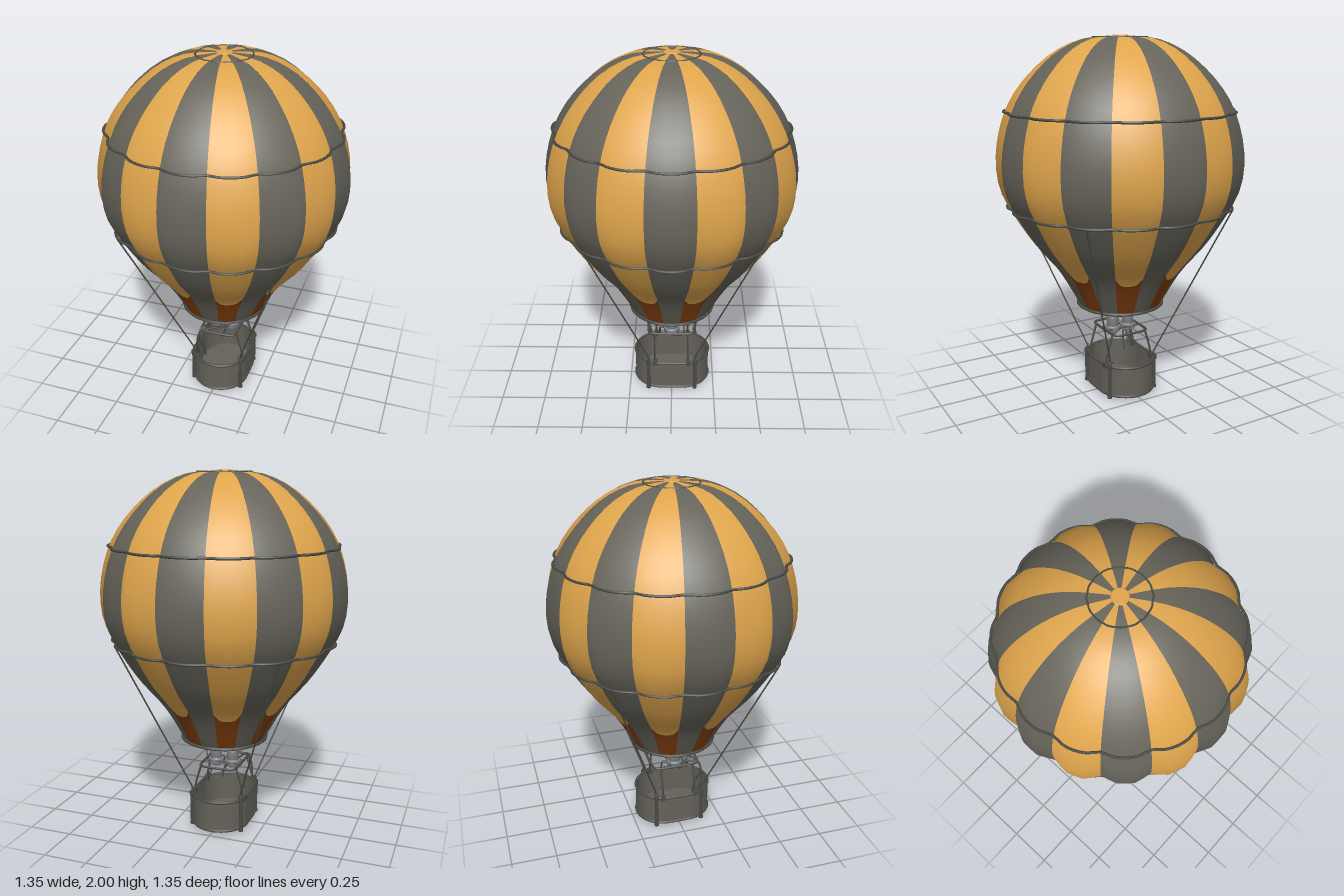
import * as THREE from 'three';

const V = (x, y, z) => new THREE.Vector3(x, y, z);
const paint = (name, color, side = THREE.FrontSide) => {
  const m = new THREE.MeshStandardMaterial({ color, side });
  m.name = name;
  return m;
};

export function createModel() {
  const grey = paint('grey fabric', 0x66645a, THREE.DoubleSide);
  const yellow = paint('yellow fabric', 0xdfa54c, THREE.DoubleSide);
  const brown = paint('brown skirt', 0x84400f, THREE.DoubleSide);
  const wall = paint('basket grey', 0x65625a);
  const dark = paint('dark trim', 0x4b4c47);
  const steel = paint('burner steel', 0x7a7d80);

  const model = new THREE.Group();
  model.name = 'hotAirBalloon';
  const add = (name, geo, mat, parent = model) => {
    const m = new THREE.Mesh(geo, mat);
    m.name = name;
    parent.add(m);
    return m;
  };
  const group = (name) => {
    const g = new THREE.Group();
    g.name = name;
    model.add(g);
    return g;
  };
  const tube = (name, pts, r, mat, parent, { closed = false, seg = 12, sides = 8 } = {}) =>
    add(name, new THREE.TubeGeometry(new THREE.CatmullRomCurve3(pts, closed, 'centripetal'), seg, r, sides, closed), mat, parent);
  const rod = (name, a, b, r, mat, parent) =>
    add(name, new THREE.TubeGeometry(new THREE.LineCurve3(a, b), 1, r, 8), mat, parent);
  const cyl = (name, r0, r1, h, x, y, z, mat, parent, sides = 16) =>
    add(name, new THREE.CylinderGeometry(r0, r1, h, sides), mat, parent).position.set(x, y, z);

  // Envelope profile (radius, height) from mouth to crown
  const profile = new THREE.SplineCurve([
    [0.235, 0.52], [0.35, 0.72], [0.495, 0.9], [0.612, 1.09], [0.662, 1.21], [0.675, 1.35], [0.653, 1.5],
    [0.6, 1.645], [0.51, 1.775], [0.38, 1.895], [0.25, 1.965], [0.14, 1.99], [0.001, 1.998],
  ].map(([r, y]) => new THREE.Vector2(r, y)));
  profile.arcLengthDivisions = 400;

  // Each gore bulges: flat across its middle third, pulled in at the seams
  const GORES = 16, COLS = 6, STEP = Math.PI * 2 / GORES;
  const bulge = (u, amount) => 1 - amount * Math.max(0, (Math.abs(2 * u - 1) - 1 / 3) * 1.5);

  // A patch of one gore between two lines across it, given as functions of u
  function gorePatch(index, from, to, rows) {
    const pos = [], nor = [], idx = [];
    for (let j = 0; j <= rows; j++) for (let i = 0; i <= COLS; i++) {
      const u = i / COLS, a = (index - 0.5 + u) * STEP;
      const t = THREE.MathUtils.lerp(from(u), to(u), j / rows);
      const p = profile.getPointAt(t), d = profile.getTangentAt(t);
      const r = p.x * bulge(u, 0.05 * Math.sin(Math.PI * Math.min(1, t * 1.1)));
      pos.push(r * Math.sin(a), p.y, r * Math.cos(a));
      nor.push(d.y * Math.sin(a), -d.x, d.y * Math.cos(a));
      if (i < COLS && j < rows) {
        const k = j * (COLS + 1) + i, n = k + COLS + 1;
        idx.push(k, k + 1, n + 1, k, n + 1, n);
      }
    }
    const g = new THREE.BufferGeometry();
    g.setAttribute('position', new THREE.Float32BufferAttribute(pos, 3));
    g.setAttribute('normal', new THREE.Float32BufferAttribute(nor, 3));
    g.setIndex(idx);
    return g;
  }
  const envelope = group('envelope');
  const mouth = () => 0, crown = () => 1;
  const skirtTop = (u) => 0.112 + 0.028 * Math.abs(2 * u - 1) ** 4;
  for (let i = 0; i < GORES; i++) {
    if (i % 2 === 0) add('greyGore', gorePatch(i, mouth, crown, 28), grey, envelope);
    else {
      add('skirtPanel', gorePatch(i, mouth, skirtTop, 4), brown, envelope);
      add('yellowGore', gorePatch(i, skirtTop, crown, 26), yellow, envelope);
    }
  }
  cyl('crownDisc', 0.04, 0.045, 0.006, 0, 1.997, 0, yellow, envelope);

  // Bands that follow the bulging gores
  const band = (name, radius, y, r, amount) => {
    const pts = [];
    for (let i = 0; i < GORES * 4; i++) {
      const a = i * STEP / 4, q = radius * bulge((i / 4 + 0.5) % 1, amount);
      pts.push(V(q * Math.sin(a), y, q * Math.cos(a)));
    }
    tube(name, pts, r, dark, envelope, { closed: true, seg: 128, sides: 6 });
  };
  band('upperBand', 0.626, 1.605, 0.007, 0.035);
  band('lowerBand', 0.622, 1.09, 0.007, 0.035);
  band('crownRing', 0.146, 1.988, 0.005, 0.015);
  band('mouthRing', 0.24, 0.518, 0.009, 0.01);

  // Basket: stadium plan, long in z
  const stadium = (r, half, Kind = THREE.Shape) => {
    const s = new Kind();
    s.absarc(0, half, r, 0, Math.PI, false);
    s.absarc(0, -half, r, Math.PI, Math.PI * 2, false);
    s.closePath();
    return s;
  };
  const slab = (shape, depth) =>
    new THREE.ExtrudeGeometry(shape, { depth, bevelEnabled: false, curveSegments: 16 }).rotateX(-Math.PI / 2);
  const basket = group('basket');
  const ringShape = stadium(0.16, 0.06);
  ringShape.holes.push(stadium(0.151, 0.06, THREE.Path));
  add('basketWall', slab(ringShape, 0.172), wall, basket).position.y = 0.015;
  add('basketFloor', slab(stadium(0.158, 0.06), 0.012), wall, basket).position.y = 0.012;
  const rimPts = stadium(0.159, 0.06).getSpacedPoints(48).slice(0, -1);
  for (const [name, y] of [['topRim', 0.188], ['bottomRim', 0.017]])
    tube(name, rimPts.map((p) => V(p.x, y, p.y)), 0.008, dark, basket, { closed: true, seg: 64, sides: 8 });

  // Corner posts, ropes, frame supports
  const rigging = group('rigging');
  for (const sx of [-1, 1]) for (const sz of [-1, 1]) {
    cyl('cornerPost', 0.01, 0.01, 0.205, sx * 0.148, 0.103, sz * 0.138, dark, rigging, 10);
    cyl('postFoot', 0.013, 0.013, 0.014, sx * 0.148, 0.007, sz * 0.138, dark, rigging, 10);
    cyl('postCollar', 0.014, 0.014, 0.024, sx * 0.148, 0.19, sz * 0.138, dark, rigging, 10);
    const eye = add('ropeEye', new THREE.TorusGeometry(0.011, 0.004, 6, 12), dark, rigging);
    eye.position.set(sx * 0.143, 0.22, sz * 0.138);
    eye.rotation.y = Math.PI / 4 * sx * sz;
    rod('rope', V(sx * 0.143, 0.225, sz * 0.138), V(sx * 0.443, 1.09, sz * 0.443), 0.0042, dark, rigging);
    add('supportClamp', new THREE.BoxGeometry(0.026, 0.03, 0.026), dark, rigging).position.set(sx * 0.15, 0.188, sz * 0.097);
    tube('frameSupport', [V(sx * 0.148, 0.19, sz * 0.097), V(sx * 0.14, 0.24, sz * 0.097),
      V(sx * 0.115, 0.325, sz * 0.097), V(sx * 0.105, 0.36, sz * 0.097)], 0.006, dark, rigging);
  }

  // Burner frame: rounded rectangle with cross bars
  const burner = group('burner');
  const frame = [];
  for (const [cx, cz, a0] of [[1, 1, 0], [-1, 1, 1], [-1, -1, 2], [1, -1, 3]])
    for (let k = 0; k <= 3; k++) {
      const a = (a0 + k / 3) * Math.PI / 2;
      frame.push(V(cx * 0.075 + 0.03 * Math.cos(a), 0.362, cz * 0.105 + 0.03 * Math.sin(a)));
    }
  tube('burnerFrame', frame, 0.007, dark, burner, { closed: true, seg: 64 });
  for (const z of [-0.035, 0.035]) rod('crossBar', V(-0.105, 0.362, z), V(0.105, 0.362, z), 0.005, dark, burner);

  // Twin burners with valve handles and fuel hoses
  for (const s of [-1, 1]) {
    const x = s * 0.05;
    cyl('burnerBase', 0.034, 0.026, 0.016, x, 0.338, 0, steel, burner);
    cyl('burnerBody', 0.045, 0.045, 0.024, x, 0.358, 0, steel, burner);
    cyl('burnerCollar', 0.03, 0.04, 0.01, x, 0.375, 0, steel, burner);
    const can = new THREE.LatheGeometry([[0.026, 0.375], [0.033, 0.375], [0.033, 0.422], [0.028, 0.422], [0.026, 0.385], [0, 0.385]]
      .map(([r, y]) => new THREE.Vector2(r, y)), 16);
    add('burnerCan', can, steel, burner).position.x = x;
    rod('valveHandle', V(s * 0.03, 0.36, s * 0.07), V(s * 0.015, 0.3, s * 0.072), 0.005, dark, burner);
    add('handleKnob', new THREE.SphereGeometry(0.008, 10, 8), dark, burner).position.set(s * 0.015, 0.297, s * 0.072);
    rod('handleBar', V(x, 0.36, 0), V(s * 0.03, 0.36, s * 0.07), 0.005, dark, burner);
  }
  tube('fuelHose', [V(-0.085, 0.16, 0.1), V(-0.09, 0.23, 0.12), V(-0.11, 0.32, 0.145), V(-0.1, 0.368, 0.125),
    V(-0.075, 0.368, 0.07), V(-0.05, 0.345, 0.01)], 0.006, dark, burner, { seg: 28 });
  tube('fuelHose', [V(-0.125, 0.17, 0.11), V(-0.125, 0.25, 0.14), V(-0.1, 0.35, 0.14), V(-0.03, 0.37, 0.1),
    V(0.04, 0.345, 0.02)], 0.006, dark, burner, { seg: 28 });

  return model;
}
